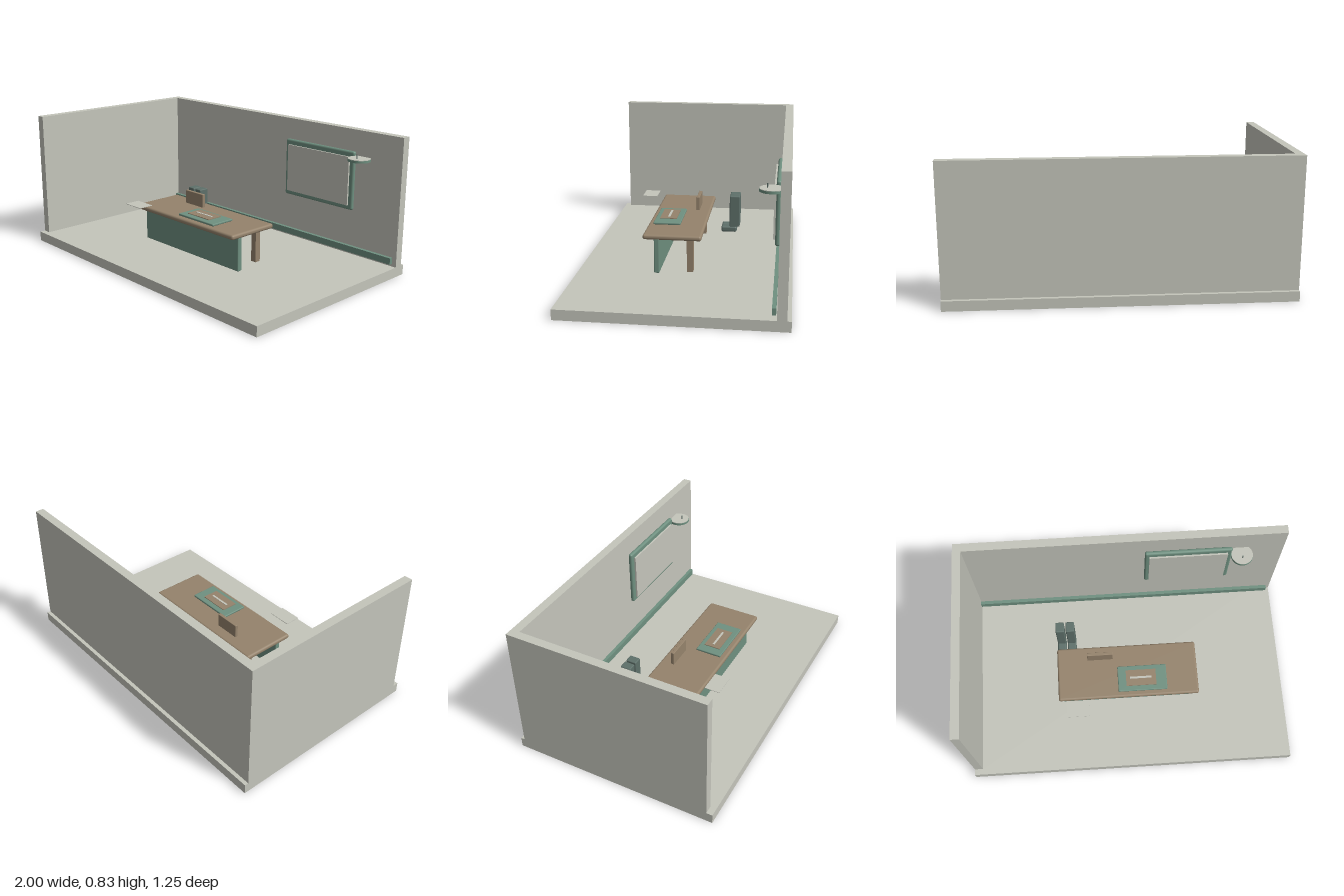
import * as THREE from 'three';
import { RoundedBoxGeometry } from 'three/addons/geometries/RoundedBoxGeometry.js';

const mat = (name, color) => {
  const m = new THREE.MeshStandardMaterial({ color });
  m.name = name;
  return m;
};

export function createModel() {
  const stone = mat('pale stone', 0xc4c5bb);
  const green = mat('sage green', 0x6f9080);
  const wood = mat('brown wood', 0x95836c);
  const dark = mat('dark slate', 0x5e706a);
  const model = new THREE.Group();
  model.name = 'office';

  // Box given by its extents on each axis, with an optional edge radius
  const box = (name, material, [x0, x1], [y0, y1], [z0, z1], radius = 0, parent = model) => {
    const size = [x1 - x0, y1 - y0, z1 - z0];
    const geometry = radius
      ? new RoundedBoxGeometry(...size, 3, radius)
      : new THREE.BoxGeometry(...size);
    const mesh = new THREE.Mesh(geometry, material);
    mesh.position.set((x0 + x1) / 2, (y0 + y1) / 2, (z0 + z1) / 2);
    mesh.name = name;
    parent.add(mesh);
    return mesh;
  };
  const group = (name) => {
    const g = new THREE.Group();
    g.name = name;
    model.add(g);
    return g;
  };

  // Room shell
  box('floor', stone, [-1, 1], [0, 0.06], [-0.623, 0.623]);
  box('backWall', stone, [-1, 1], [0.06, 0.835], [-0.6, -0.548]);
  box('sideWall', stone, [-1, -0.95], [0.06, 0.835], [-0.548, 0.587]);
  box('wallRail', green, [-0.95, 0.975], [0.078, 0.117], [-0.543, -0.521]);

  // Wall board with a raised pale panel
  const board = group('wallBoard');
  box('boardFrame', green, [0.143, 0.68], [0.343, 0.705], [-0.549, -0.522], 0.012, board);
  box('boardPanel', stone, [0.17, 0.652], [0.372, 0.672], [-0.522, -0.511], 0, board);

  // Round wall shelf with a small pin
  const shelf = group('roundShelf');
  const disc = (name, material, radius, y0, y1, z) => {
    const mesh = new THREE.Mesh(new THREE.CylinderGeometry(radius, radius, y1 - y0, 32), material);
    mesh.position.set(0.735, (y0 + y1) / 2, z);
    mesh.name = name;
    shelf.add(mesh);
  };
  disc('shelfDisc', green, 0.067, 0.664, 0.678, -0.5);
  disc('shelfFace', stone, 0.066, 0.678, 0.681, -0.5);
  disc('shelfPin', dark, 0.003, 0.681, 0.706, -0.477);

  // Desk
  const desk = group('desk');
  box('deskTop', wood, [-0.44, 0.435], [0.267, 0.297], [-0.1, 0.24], 0.013, desk);
  box('frontPanel', green, [-0.422, 0.418], [0.06, 0.267], [0.146, 0.177], 0.005, desk);
  for (const x of [-0.36, 0.36])
    box('deskLeg', wood, [x - 0.018, x + 0.018], [0.06, 0.267], [-0.047, -0.01], 0, desk);

  // Items on and around the desk
  const pad = group('deskPad');
  box('padBase', green, [-0.066, 0.239], [0.298, 0.312], [0.046, 0.209], 0.005, pad);
  box('padSheet', wood, [-0.015, 0.172], [0.316, 0.32], [0.077, 0.179], 0, pad);
  box('padStrip', stone, [0.01, 0.145], [0.32, 0.322], [0.121, 0.134], 0, pad);
  box('uprightPlate', wood, [-0.25, -0.09], [0.29, 0.381], [-0.031, -0.011], 0.003);
  box('paperSheet', stone, [-0.39, -0.252], [0.331, 0.334], [0.267, 0.361]);

  // Pair of tall boots behind the desk
  const boots = group('boots');
  for (const x of [-0.416, -0.351]) {
    box('bootLeg', dark, [x - 0.027, x + 0.027], [0.12, 0.328], [-0.27, -0.203], 0.006, boots);
    box('bootFoot', dark, [x - 0.029, x + 0.029], [0.083, 0.12], [-0.251, -0.149], 0.011, boots);
  }
  return model;
}
